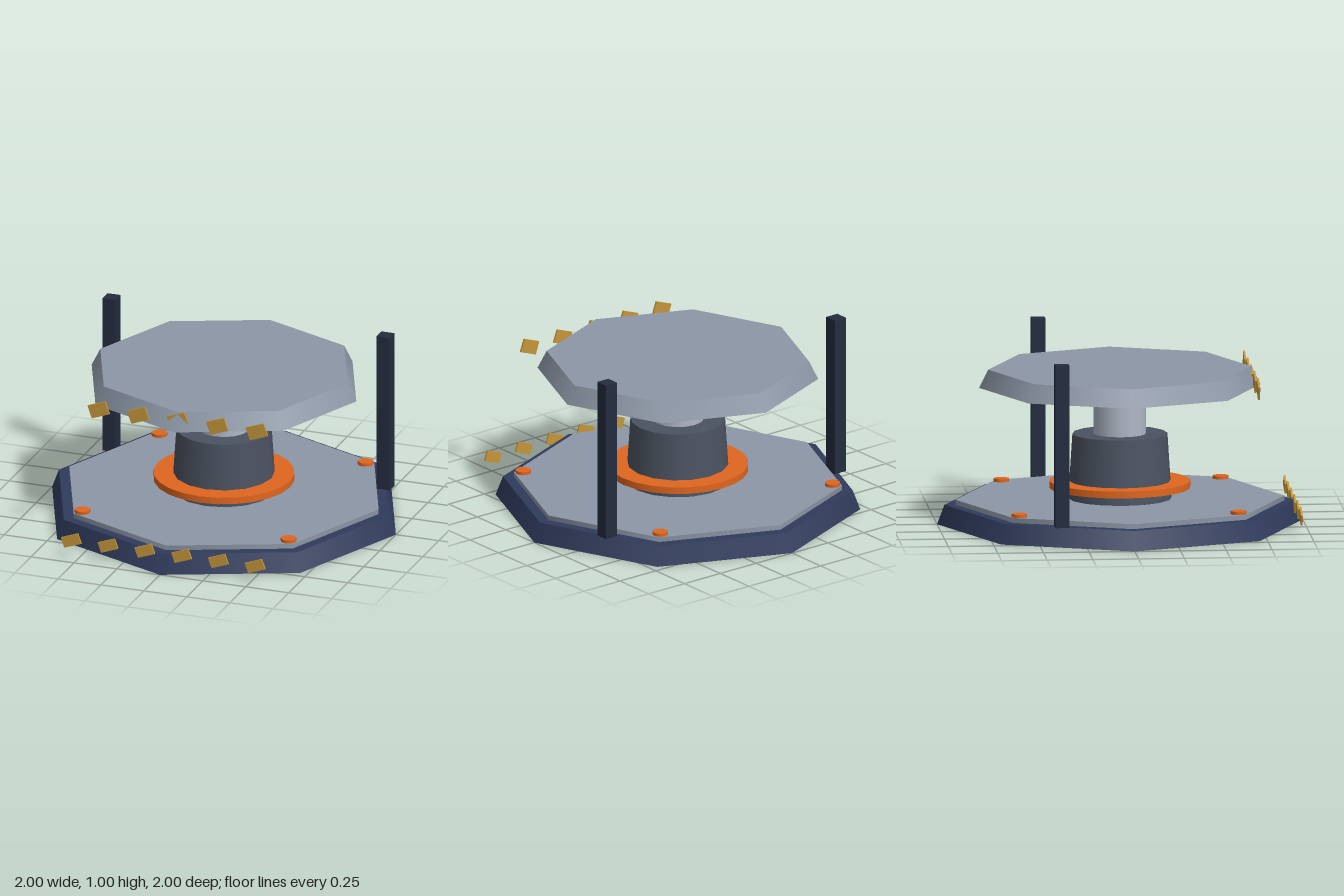
import * as THREE from 'three';

const material = (color) => new THREE.MeshStandardMaterial({ color });

export function createModel() {
  const model = new THREE.Group();
  const navy = material(0x2f3b5c), darkNavy = material(0x232c3f), steel = material(0x8c97a6);
  const slate = material(0x4b5361), silver = material(0xb0b8c6), orange = material(0xe0661f);
  const gold = material(0xc4963a);

  const add = (name, geometry, mat, x, y, z) => {
    const mesh = new THREE.Mesh(geometry, mat);
    mesh.name = name;
    mesh.position.set(x, y, z);
    model.add(mesh);
    return mesh;
  };

  // Upright drum between two heights
  const drum = (name, rTop, rBottom, y0, y1, sides, mat, x = 0, z = 0) =>
    add(name, new THREE.CylinderGeometry(rTop, rBottom, y1 - y0, sides), mat, x, (y0 + y1) / 2, z);

  // Octagonal base and deck
  drum('base', 0.96, 1, 0, 0.107, 8, navy);
  drum('deckPlate', 0.9, 0.9, 0.107, 0.134, 8, steel);

  // Central column
  drum('pedestal', 0.26, 0.283, 0.134, 0.49, 16, slate);
  drum('collar', 0.385, 0.385, 0.192, 0.23, 24, orange);
  drum('piston', 0.143, 0.143, 0.49, 0.75, 16, silver);

  // Raised octagonal platform
  drum('platform', 0.72, 0.77, 0.75, 0.85, 8, steel);

  // Corner bolts
  for (const x of [-0.6, 0.6])
    for (const z of [-0.6, 0.6]) drum('bolt', 0.043, 0.043, 0.125, 0.151, 10, orange, x, z);

  // Guide posts
  for (const x of [-0.797, 0.797])
    add('guidePost', new THREE.BoxGeometry(0.077, 0.895, 0.077), darkNavy, x, 0.5545, -0.383);

  // Rows of tilted warning plates along the front
  const plateRow = (name, count, spacing, w, h, y, z) => {
    for (let i = 0; i < count; i++) {
      const x = (i - (count - 1) / 2) * spacing;
      add(name, new THREE.BoxGeometry(w, h, 0.011), gold, x, y, z).rotation.z = 0.35;
    }
  };
  plateRow('platformWarningPlate', 5, 0.23, 0.109, 0.075, 0.8, 0.72);
  plateRow('baseWarningPlate', 6, 0.214, 0.104, 0.06, 0.107, 0.947);

  return model;
}
